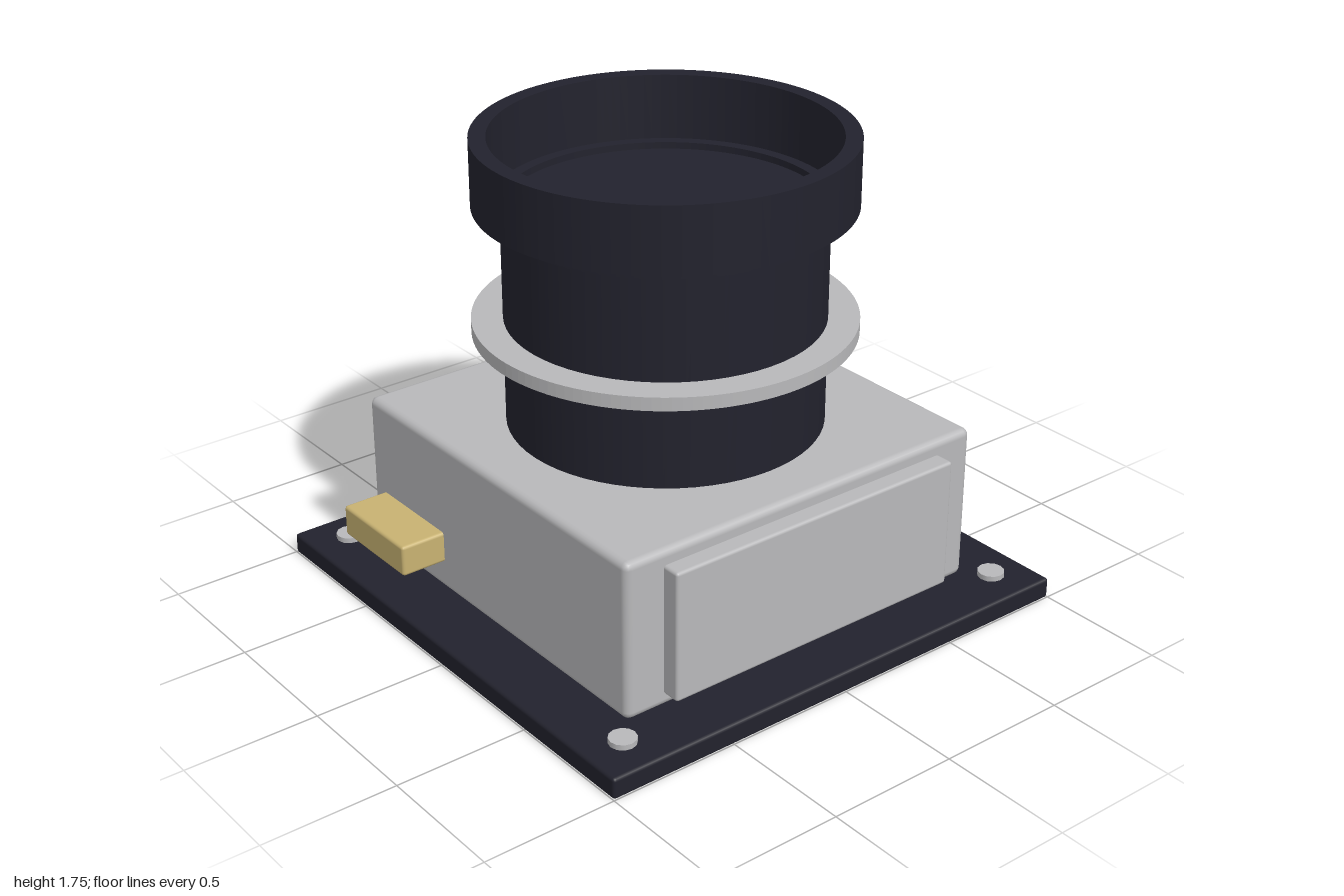
import * as THREE from 'three';
import { RoundedBoxGeometry } from 'three/addons/geometries/RoundedBoxGeometry.js';

export function createModel() {
  const group = new THREE.Group();
  const material = (name, color) => {
    const m = new THREE.MeshStandardMaterial({ color });
    m.name = name;
    return m;
  };
  const black = material('blackBody', 0x22222d);
  const grey = material('greyMetal', 0xb8b8ba);
  const gold = material('goldConnector', 0xc8b272);

  const add = (name, geometry, mat, x, y, z) => {
    const mesh = new THREE.Mesh(geometry, mat);
    mesh.name = name;
    mesh.position.set(x, y, z);
    group.add(mesh);
  };
  // softened box given by its lower and upper corners
  const box = (name, mat, a, b, radius) => {
    const size = b.map((v, i) => v - a[i]);
    add(name, new RoundedBoxGeometry(...size, 2, radius), mat, ...b.map((v, i) => (v + a[i]) / 2));
  };
  // upright cylinder between two heights
  const disc = (name, mat, r, y0, y1, x = 0, z = 0, sides = 64) =>
    add(name, new THREE.CylinderGeometry(r, r, y1 - y0, sides), mat, x, (y0 + y1) / 2, z);
  // upright hollow ring with crisp edges
  const ring = (name, mat, inner, outer, y0, y1) => {
    const shape = new THREE.Shape().absarc(0, 0, outer, 0, Math.PI * 2, false);
    shape.holes.push(new THREE.Path().absarc(0, 0, inner, 0, Math.PI * 2, true));
    const g = new THREE.ExtrudeGeometry(shape, { depth: y1 - y0, bevelEnabled: false, curveSegments: 64 });
    g.rotateX(-Math.PI / 2);
    add(name, g, mat, 0, y0, 0);
  };

  // circuit board, housing, side plate and connector
  box('basePlate', black, [-1, 0, -1], [1, 0.08, 1], 0.012);
  box('housing', grey, [-0.775, 0.08, -0.775], [0.775, 0.68, 0.775], 0.028);
  box('sidePlate', grey, [0.765, 0.13, -0.62], [0.845, 0.625, 0.62], 0.012);
  box('connector', gold, [-0.7, 0.195, 0.7], [-0.305, 0.315, 0.95], 0.012);

  // corner screws
  for (const x of [-0.85, 0.85])
    for (const z of [-0.85, 0.85]) disc('screw', grey, 0.05, 0.07, 0.1, x, z, 12);

  // lens barrel with its collar, and the open hood above
  disc('lensBarrel', black, 0.575, 0.67, 1.48);
  ring('lensCollar', grey, 0.57, 0.6875, 1.03, 1.08);
  ring('hoodFlange', black, 0.57, 0.615, 1.47, 1.505);
  ring('lensHood', black, 0.614, 0.675, 1.505, 1.75);

  return group;
}
